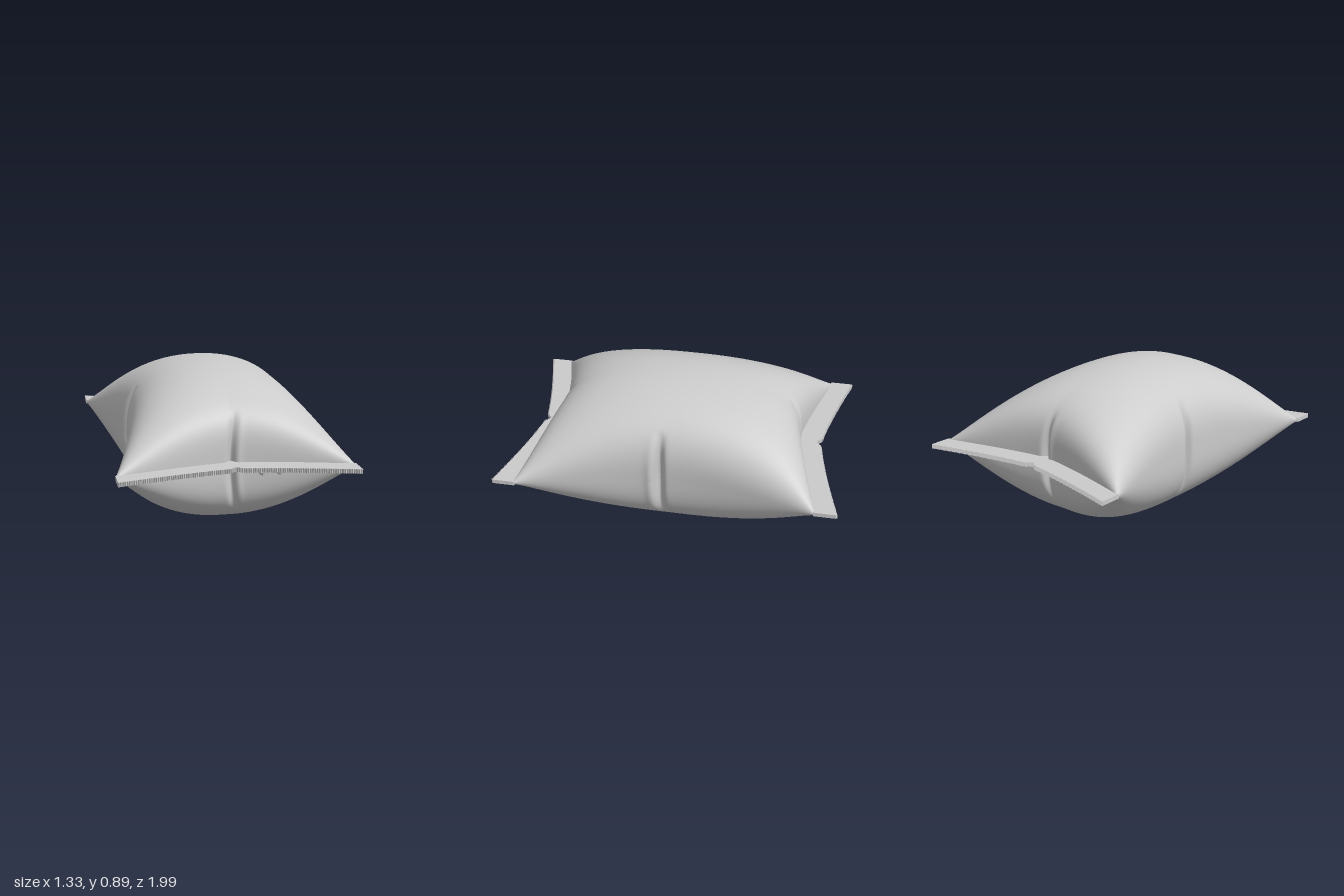
import * as THREE from 'three';
import { mergeVertices } from 'three/addons/utils/BufferGeometryUtils.js';

const material = new THREE.MeshStandardMaterial({ color: 0xcccccc, roughness: 0.6 });
const N = 120;

// Outline of the bag: waisted sides and ends, pointed corners
const halfWidth = v => 0.5 + 0.167 * Math.abs(v) ** 1.7;
const halfLength = u => 0.72 + 0.155 * Math.abs(u) ** 1.3;
const seamY = v => 0.447 - 0.014 * v ** 3;

// Grid spacing that is dense at the edges and along the creased centre lines
const spread = i => {
  const s = (2 * i) / N - 1;
  return Math.sin((Math.PI / 2) * (s - 0.1 * Math.sin(2 * Math.PI * s)));
};

// Inflated height above the seam, tapering to a cone at each corner
function bulge(u, v) {
  const a = Math.max(0, 1 - u * u), b = Math.max(0, 1 - v * v);
  return 0.445 * a ** (0.34 + 0.2 * v * v) * b ** (0.27 + 0.2 * u * u);
}

// Inward fold at distance d from the crease line, fading with height dy
function fold(d, dy, width, depth) {
  const fade = Math.max(0, 1 - (dy / 0.29) ** 2);
  return depth * fade * (Math.exp(-((d / width) ** 2)) - 0.2 * Math.exp(-(((d - 2 * width) / width) ** 2)));
}

function bodyPoint(u, v, side) {
  let x = u * halfWidth(v), z = v * halfLength(u);
  const dy = side * bulge(u, v);
  const bend = 0.03 * (dy / 0.28) ** 2;
  const px = x, pz = z;
  if (Math.abs(u) > 0.5) {
    const s = Math.sign(u);
    x -= s * fold(s * pz - 0.045 + bend * 0.3, dy, 0.025, s > 0 ? 0.055 : 0.04);
  }
  if (Math.abs(v) > 0.5) {
    const s = Math.sign(v);
    z -= s * fold(s * px + 0.008 - bend, dy, 0.02, 0.032);
  }
  return [x, seamY(v) + dy, z];
}

// Two inflated panels welded along the seam
function bodyGeometry() {
  const positions = [], index = [];
  for (const side of [1, -1]) {
    const base = positions.length / 3;
    for (let j = 0; j <= N; j++)
      for (let i = 0; i <= N; i++) positions.push(...bodyPoint(spread(i), spread(j), side));
    for (let j = 0; j < N; j++)
      for (let i = 0; i < N; i++) {
        const a = base + j * (N + 1) + i, b = a + 1, c = a + N + 1, d = c + 1;
        if (side > 0) index.push(a, c, b, b, c, d);
        else index.push(a, b, c, b, d, c);
      }
  }
  const geometry = new THREE.BufferGeometry();
  geometry.setAttribute('position', new THREE.Float32BufferAttribute(positions, 3));
  geometry.setIndex(index);
  const welded = mergeVertices(geometry, 1e-5);
  welded.computeVertexNormals();
  return welded;
}

// Flat crimped strip with a saw-toothed outer edge and a central nick
function sealGeometry() {
  const shape = new THREE.Shape();
  const teeth = 110, half = 0.665;
  const nick = x => 0.025 * Math.exp(-((x / 0.025) ** 2));
  const inner = x => halfLength(x / half) - 0.012 - nick(x);
  const outer = x => 0.855 + 0.143 * Math.abs(x / half) ** 1.3 - nick(x);
  const steps = 48;
  for (let i = 0; i <= steps; i++) {
    const x = -half + (2 * half * i) / steps;
    if (i === 0) shape.moveTo(x, inner(x));
    else shape.lineTo(x, inner(x));
  }
  for (let i = 0; i <= teeth * 2; i++) {
    const x = half - (half * i) / teeth;
    shape.lineTo(x, outer(x) - (i % 2 ? 0 : 0.009));
  }
  shape.closePath();
  const geometry = new THREE.ExtrudeGeometry(shape, { depth: 0.025, bevelEnabled: false });
  return geometry.rotateX(Math.PI / 2);
}

export function createModel() {
  const model = new THREE.Group();
  model.name = 'pillowBag';
  const add = (name, geometry, mat = material) => {
    const mesh = new THREE.Mesh(geometry, mat);
    mesh.name = name;
    model.add(mesh);
    return mesh;
  };

  add('inflatedBody', bodyGeometry());

  // Crimped seals at both ends
  const seal = sealGeometry();
  add('frontSeal', seal).position.y = 0.445;
  const back = add('backSeal', seal);
  back.position.y = 0.475;
  back.rotation.y = Math.PI;

  // Small faceted beads under the front seal
  const beadMaterial = material.clone();
  beadMaterial.flatShading = true;
  for (const x of [0.15, 0.25]) {
    const bead = add('sealBead', new THREE.SphereGeometry(0.02, 8, 4), beadMaterial);
    bead.position.set(x, 0.403, 0.8);
  }
  return model;
}
